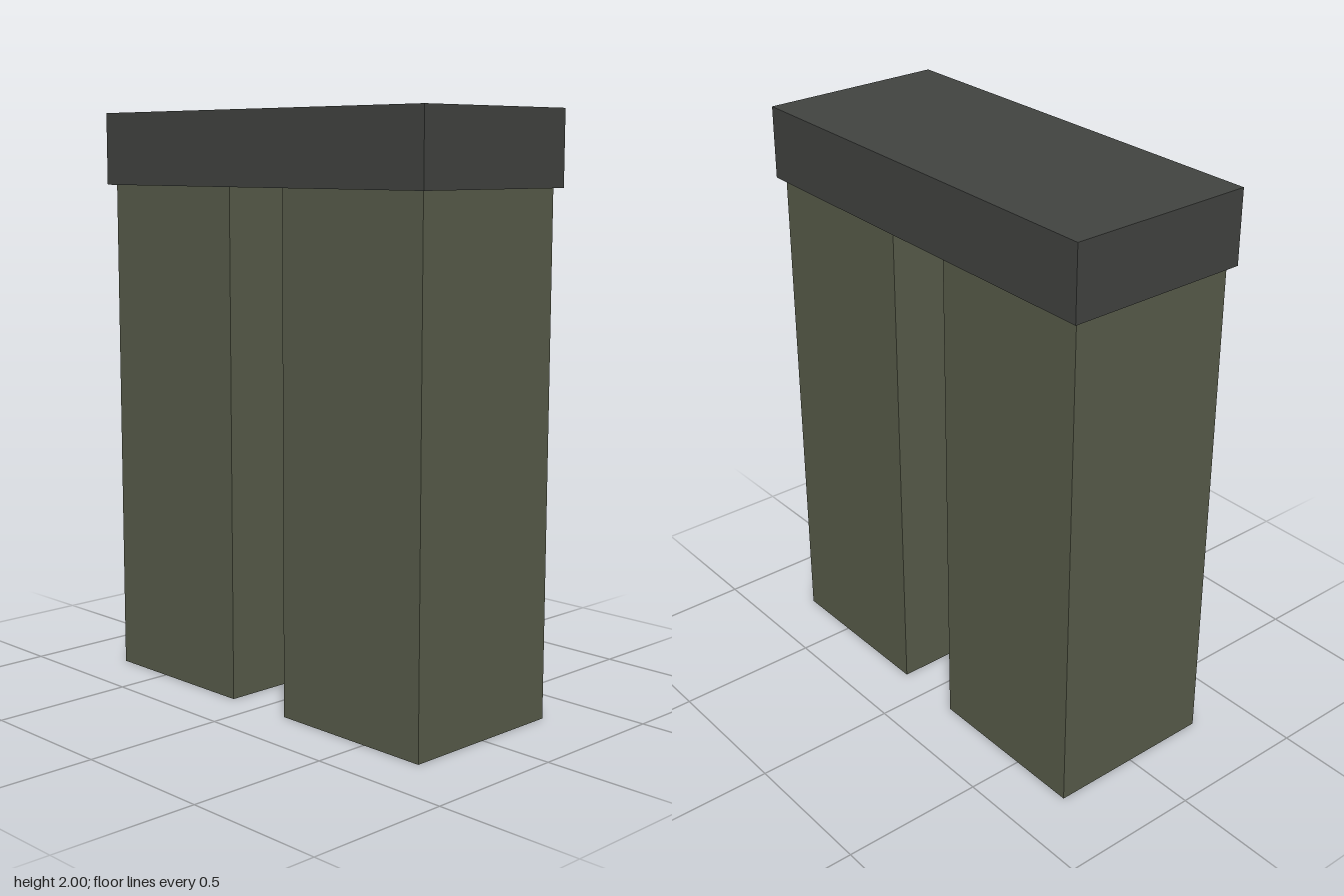
import * as THREE from 'three';

const SLAB_BOTTOM = 1.75;

// Box standing on height y
function block(name, w, h, d, x, y, color) {
  const mesh = new THREE.Mesh(
    new THREE.BoxGeometry(w, h, d),
    new THREE.MeshStandardMaterial({ color })
  );
  mesh.name = name;
  mesh.position.set(x, y + h / 2, 0);
  return mesh;
}

export function createModel() {
  const group = new THREE.Group();
  group.name = 'trilithon';

  // Two square pillars, mirrored about the centre
  for (const side of [1, -1]) {
    const name = side > 0 ? 'leftPillar' : 'rightPillar';
    group.add(block(name, 0.608, SLAB_BOTTOM, 0.608, side * 0.432, 0, 0x595d4b));
  }

  // Overhanging lintel slab
  group.add(block('lintel', 1.518, 2 - SLAB_BOTTOM, 0.656, 0, SLAB_BOTTOM, 0x424441));

  return group;
}
